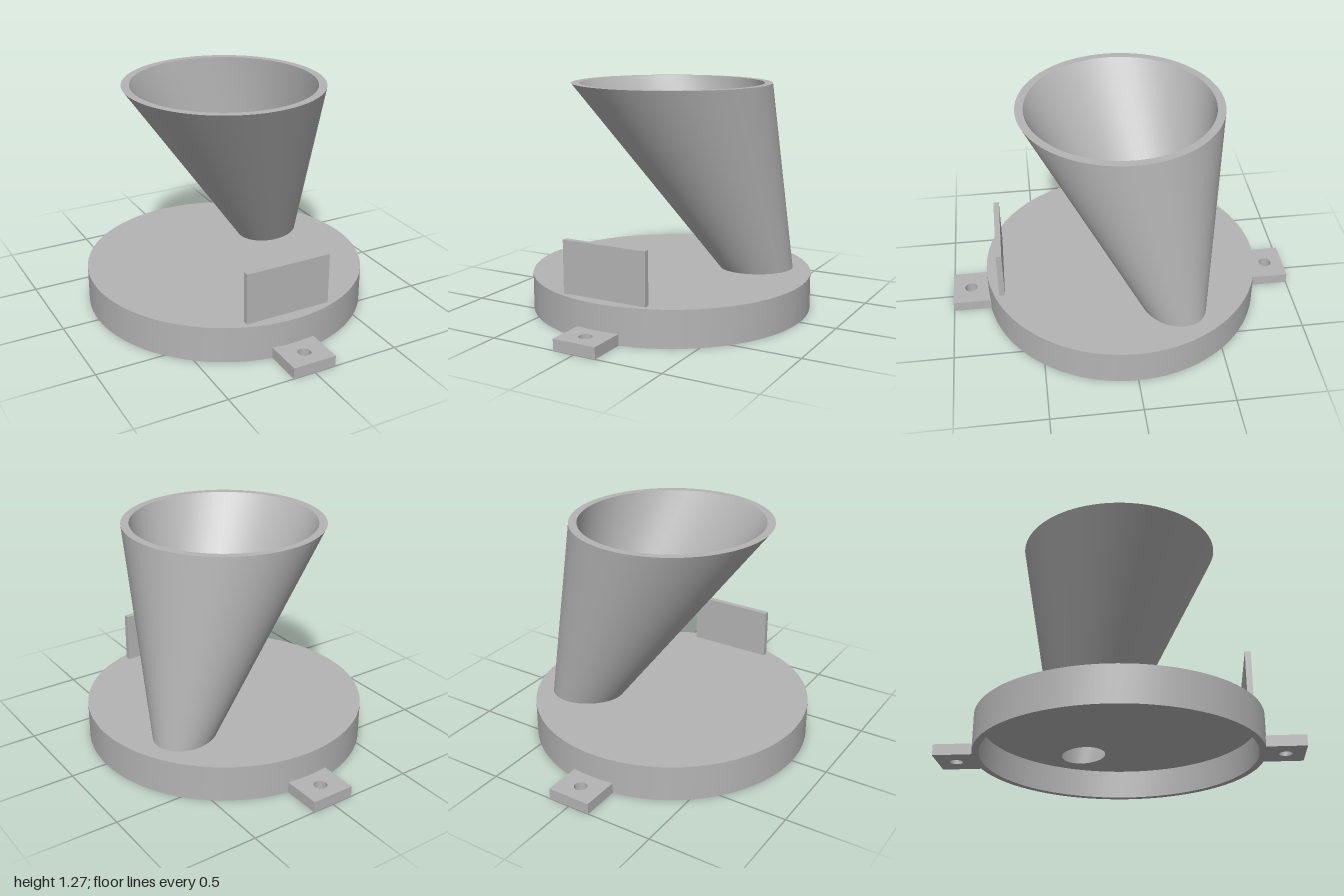
import * as THREE from 'three';

const grey = new THREE.MeshStandardMaterial({ color: 0xb4b4b4 });
grey.name = 'light grey';
const SEGMENTS = 96;

// Smooth band between two horizontal ellipses, each [centre x, y, radius x, radius z].
// Going from lower to upper faces outward; swapping them faces inward.
function band(name, from, to) {
  const positions = [], index = [];
  for (const [cx, y, rx, rz] of [from, to]) {
    for (let i = 0; i < SEGMENTS; i++) {
      const a = (i / SEGMENTS) * Math.PI * 2;
      positions.push(cx + rx * Math.cos(a), y, -rz * Math.sin(a));
    }
  }
  for (let i = 0; i < SEGMENTS; i++) {
    const j = (i + 1) % SEGMENTS;
    index.push(i, j, SEGMENTS + j, i, SEGMENTS + j, SEGMENTS + i);
  }
  const geometry = new THREE.BufferGeometry();
  geometry.setAttribute('position', new THREE.Float32BufferAttribute(positions, 3));
  geometry.setIndex(index);
  geometry.computeVertexNormals();
  const mesh = new THREE.Mesh(geometry, grey);
  mesh.name = name;
  return mesh;
}

const circle = (y, r) => [0, y, r, r];

// Mounting tab with a screw hole
function mountingTab(side) {
  const shape = new THREE.Shape();
  shape.moveTo(-0.125, 0.77);
  shape.lineTo(0.125, 0.77);
  shape.lineTo(0.125, 1);
  shape.lineTo(-0.125, 1);
  shape.closePath();
  const hole = new THREE.Path();
  hole.absarc(0, 0.895, 0.036, 0, Math.PI * 2, true);
  shape.holes.push(hole);
  const geometry = new THREE.ExtrudeGeometry(shape, { depth: 0.062, bevelEnabled: false, curveSegments: 24 });
  geometry.rotateX(-Math.PI / 2);
  const tab = new THREE.Mesh(geometry, grey);
  tab.rotation.y = side > 0 ? Math.PI : 0;
  tab.name = side > 0 ? 'frontTab' : 'backTab';
  return tab;
}

export function createModel() {
  const model = new THREE.Group();
  model.name = 'funnelLid';

  // The funnel leans along the local x axis, turned 30 degrees toward the back
  const body = new THREE.Group();
  body.name = 'lidAndFunnel';
  body.rotation.y = Math.PI / 6;
  model.add(body);

  const lidTop = 0.205, ceiling = 0.165, funnelTop = 1.27;
  const lidR = 0.793, lidInnerR = 0.755, mouthR = 0.56, mouthInnerR = 0.515;
  const funnelFoot = [0.49, lidTop, 0.208, 0.168];
  const outlet = [0.49, ceiling, 0.155, 0.122];

  // Lid, open underneath
  body.add(
    band('lidOuterWall', circle(0, lidR), circle(lidTop, lidR)),
    band('lidTop', circle(lidTop, lidR), funnelFoot),
    band('lidRim', circle(0, lidInnerR), circle(0, lidR)),
    band('lidInnerWall', circle(ceiling, lidInnerR), circle(0, lidInnerR)),
    band('lidCeiling', outlet, circle(ceiling, lidInnerR)),
  );

  // Leaning funnel, open right through the lid
  body.add(
    band('funnelOuterWall', funnelFoot, circle(funnelTop, mouthR)),
    band('funnelMouthRim', circle(funnelTop, mouthR), circle(funnelTop, mouthInnerR)),
    band('funnelInnerWall', circle(funnelTop, mouthInnerR), outlet),
  );

  // Upright plate near the front edge
  const plate = new THREE.Mesh(new THREE.BoxGeometry(0.496, 0.295, 0.032), grey);
  plate.position.set(0, 0.3475, 0.709);
  plate.name = 'uprightPlate';
  model.add(plate);

  model.add(mountingTab(1), mountingTab(-1));
  return model;
}
